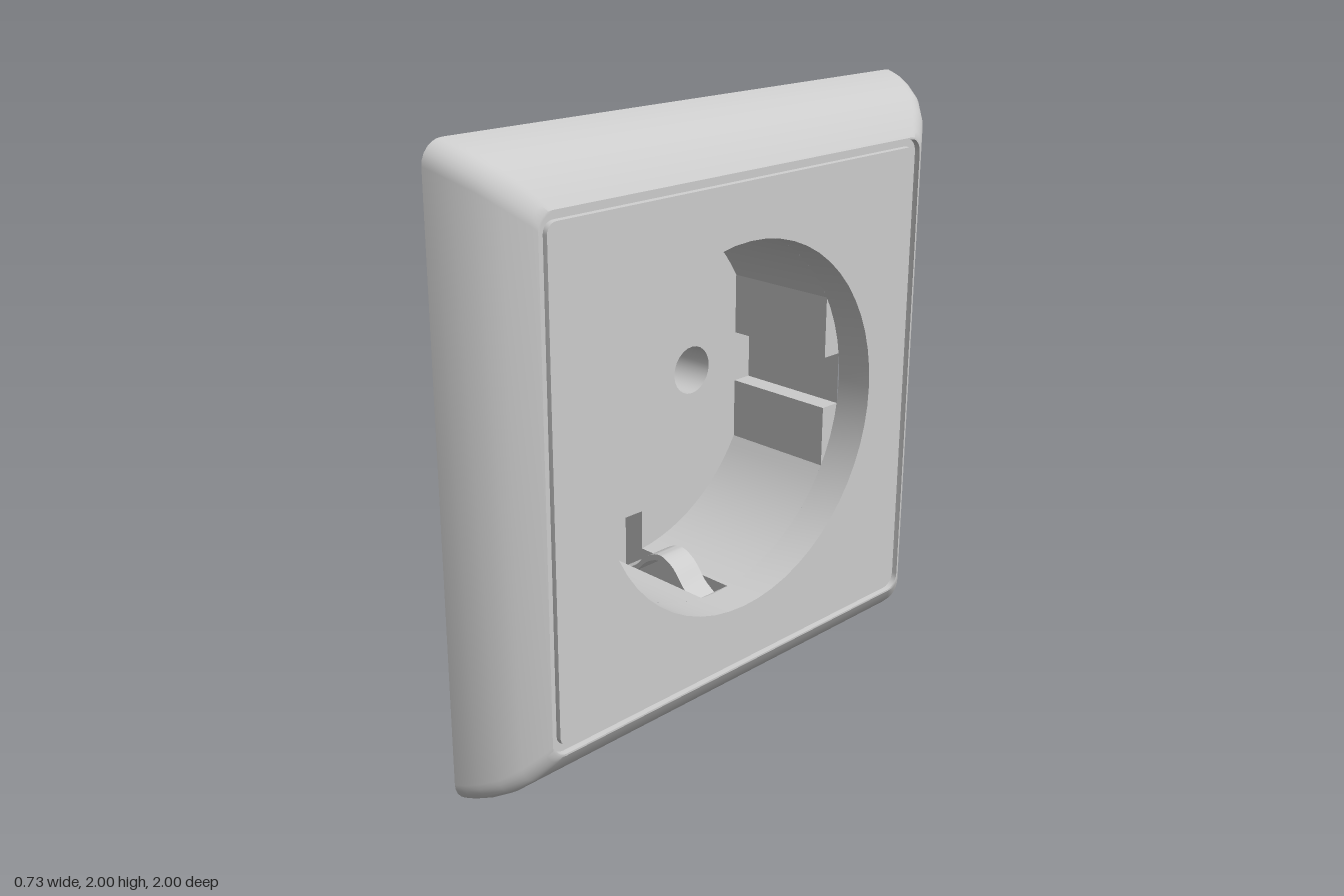
import * as THREE from 'three';
import { toCreasedNormals } from 'three/addons/utils/BufferGeometryUtils.js';

const R = 0.605;        // recess radius
const FACE = 0.35;      // cover plate depth
const LEDGE = 0.22;     // front end of the side guides and clip slots
const FLOOR = -0.192;   // recess floor
const POCKET = -0.275;  // back of the clip pockets
const SLOT = 0.062;     // half width of a clip slot

const grey = new THREE.MeshStandardMaterial({ color: 0xcccccc, side: THREE.DoubleSide });
const dark = new THREE.MeshStandardMaterial({ color: 0x202020, side: THREE.DoubleSide });

// Skin between closed loops of [x, y, z] points
function loft(loops) {
  const n = loops[0].length;
  const index = [];
  for (let k = 0; k < loops.length - 1; k++) {
    for (let i = 0; i < n; i++) {
      const a = k * n + i, b = k * n + (i + 1) % n;
      index.push(a, b, b + n, a, b + n, a + n);
    }
  }
  const g = new THREE.BufferGeometry();
  g.setAttribute('position', new THREE.Float32BufferAttribute(loops.flat(2), 3));
  g.setIndex(index);
  return toCreasedNormals(g, 0.5);
}

const atDepth = (pts, z) => pts.map(([x, y]) => [x, y, z]);
const wall = (pts, z0, z1) => loft([atDepth(pts, z0), atDepth(pts, z1)]);
const vectors = (pts) => pts.map(([x, y]) => new THREE.Vector2(x, y));

// Flat sheet with optional holes
function sheet(pts, z, holes = []) {
  const shape = new THREE.Shape(vectors(pts));
  holes.forEach((h) => shape.holes.push(new THREE.Path(vectors(h))));
  return new THREE.ShapeGeometry(shape).translate(0, 0, z);
}

function arc(r, a0, a1, n, cx = 0, cy = 0) {
  return Array.from({ length: n + 1 }, (_, i) => {
    const a = a0 + (a1 - a0) * i / n;
    return [cx + r * Math.cos(a), cy + r * Math.sin(a)];
  });
}
const circle = (r, n, cx = 0) => arc(r, 0, Math.PI * 2, n, cx).slice(0, n);

function roundedSquare(half, r) {
  const c = half - r, q = Math.PI / 2;
  return [[c, c], [-c, c], [-c, -c], [c, -c]].flatMap(([x, y], i) => arc(r, i * q, (i + 1) * q, 6, x, y));
}

// Recess cross-section: circle with side guides, and slots reaching slotY
const guideTop = Math.sqrt(R * R - 0.525 * 0.525);
const guideOut = Math.sqrt(R * R - 0.09 * 0.09);
const slotTop = Math.sqrt(R * R - SLOT * SLOT);
function recessOutline(slotY) {
  const quarter = [[guideOut, 0.09], [0.525, 0.09],
    ...arc(R, Math.atan2(guideTop, 0.525), Math.atan2(slotTop, SLOT), 12), [SLOT, slotY]];
  const half = [...quarter, ...quarter.map(([x, y]) => [-x, y]).reverse()];
  return [...half, ...half.map(([x, y]) => [-x, -y])];
}

export function createModel() {
  const model = new THREE.Group();
  const socket = new THREE.Group();
  socket.name = 'wallSocket';
  model.add(socket);

  const add = (name, geometry, material = grey, parent = socket) => {
    const mesh = new THREE.Mesh(geometry, material);
    mesh.name = name;
    parent.add(mesh);
    return mesh;
  };

  // Curved outer frame, hollow at the back: half size, depth, corner radius
  const profile = [
    [1.0, 0.107, 0.07], [0.99, 0.145, 0.07], [0.973, 0.19, 0.07], [0.94, 0.25, 0.065],
    [0.895, 0.3, 0.06], [0.835, 0.343, 0.05], [0.82, 0.353, 0.05], [0.814, 0.353, 0.048],
    [0.812, 0.335, 0.046], [0.79, 0.335, 0.035], [0.788, FACE, 0.033],
  ];
  add('frame', loft(profile.map(([h, z, r]) => atDepth(roundedSquare(h, r), z))));

  // Cover plate with the round opening
  add('coverPlate', sheet(roundedSquare(0.788, 0.033), FACE, [circle(R, 56)]));

  // Recess: round mouth, guided lower wall and floor
  add('recessMouth', wall(circle(R, 56), LEDGE, FACE));
  add('recessWall', wall(recessOutline(0.69), FLOOR, LEDGE));
  const pinX = 0.305, pinR = 0.085;
  add('recessFloor', sheet(recessOutline(0.46), FLOOR, [circle(pinR, 24, pinX), circle(pinR, 24, -pinX)]));

  // Front ends of the four side guides
  const guideEnd = [[0.525, 0.09], ...arc(R, Math.atan2(0.09, guideOut), Math.atan2(guideTop, 0.525), 5)];
  for (const sx of [1, -1]) {
    for (const sy of [1, -1]) {
      const pts = guideEnd.map(([x, y]) => [x * sx, y * sy]);
      add('guideEnd', sheet(pts, LEDGE));
    }
  }

  // Pin sleeves with dark ends
  for (const s of [1, -1]) {
    const pts = circle(pinR, 24, s * pinX);
    add('pinSleeve', wall(pts, -0.365, FLOOR));
    add('pinSleeveEnd', sheet(pts, -0.365), dark);
  }

  // Earth clips: slot end, rear pocket, stop and sprung strip, at top and bottom
  const rect = (y0, y1) => [[-SLOT, y0], [SLOT, y0], [SLOT, y1], [-SLOT, y1]];
  const bend = new THREE.CatmullRomCurve3([
    [0.2, 0.655], [0.13, 0.61], [0.07, 0.545], [0.01, 0.522], [-0.05, 0.545], [-0.11, 0.6], [-0.19, 0.64],
  ].map(([z, y]) => new THREE.Vector3(z, y, 0))).getPoints(28).map((p) => [p.x, p.y]);
  const strip = [...bend, ...bend.map(([z, y]) => [z, y + 0.022]).reverse()];
  for (const s of [0, 1]) {
    const clip = new THREE.Group();
    clip.name = s ? 'bottomEarthClip' : 'topEarthClip';
    clip.rotation.z = s * Math.PI;
    add('slotEnd', sheet(rect(slotTop - 0.002, 0.69), LEDGE), grey, clip);
    add('pocketWall', wall(rect(0.46, 0.69), POCKET, FLOOR), grey, clip);
    add('pocketBack', sheet(rect(0.46, 0.69), POCKET), grey, clip);
    add('pocketStop', new THREE.BoxGeometry(0.07, 0.04, 0.036).translate(0, 0.44, -0.212), grey, clip);
    const g = new THREE.ExtrudeGeometry(new THREE.Shape(vectors(strip)), { depth: 0.1, bevelEnabled: false });
    g.translate(0, 0, -0.05).rotateY(-Math.PI / 2);
    add('contactStrip', toCreasedNormals(g, 0.5), grey, clip);
    socket.add(clip);
  }

  // Face the socket toward +x with its slight turn
  socket.rotation.y = Math.PI / 2 - 0.0125;
  socket.position.y = 1;
  return model;
}
